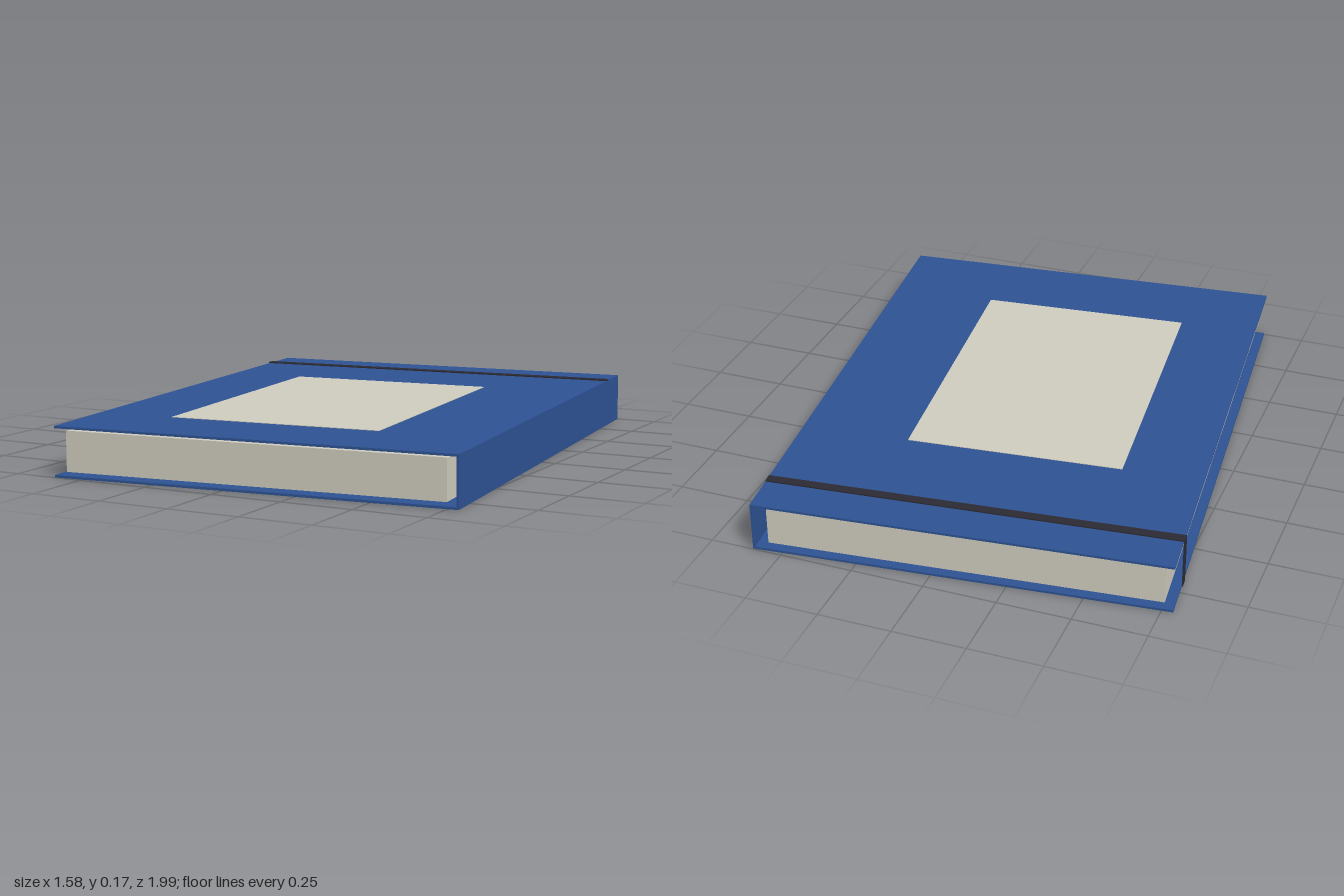
import * as THREE from 'three';

export function createModel() {
  const model = new THREE.Group();
  model.name = 'notebook';

  const material = (name, color) => {
    const m = new THREE.MeshStandardMaterial({ color });
    m.name = name;
    return m;
  };
  const blue = material('coverBlue', 0x2e5293);
  const cream = material('paperCream', 0xcfccbd);
  const dark = material('bandCharcoal', 0x2b2a33);

  // Box given by its lowest and highest corners
  const box = (name, mat, [x0, y0, z0], [x1, y1, z1]) => {
    const mesh = new THREE.Mesh(new THREE.BoxGeometry(x1 - x0, y1 - y0, z1 - z0), mat);
    mesh.position.set((x0 + x1) / 2, (y0 + y1) / 2, (z0 + z1) / 2);
    mesh.name = name;
    model.add(mesh);
  };

  const W = 0.698, L = 0.932; // half width and half length of the cover
  const H = 0.171, T = 0.008; // closed height and board thickness

  // Hard cover: two boards joined by a spine on the +x side
  box('backCover', blue, [-W, 0, -L], [W, T, L]);
  box('frontCover', blue, [-W, H - T, -L], [W, H, L]);
  box('spine', blue, [W - T, T, -L], [W, H - T, L]);

  // Page block, set in from the cover edges
  box('pages', cream, [-W + 0.032, 0.017, -L + 0.022], [W - 0.046, 0.154, L - 0.022]);

  // Paper label on the front cover
  box('label', cream, [-0.422, H, -0.425], [0.322, H + 0.002, 0.631]);

  // Elastic band over the front cover and down the open edge
  const z0 = -0.789, z1 = -0.755, B = 0.004;
  box('bandTop', dark, [-W - B, H, z0], [W, H + B, z1]);
  box('bandSide', dark, [-W - B, 0, z0], [-W, H, z1]);

  // The closed book lies slightly turned
  model.rotation.y = 0.1;
  return model;
}
